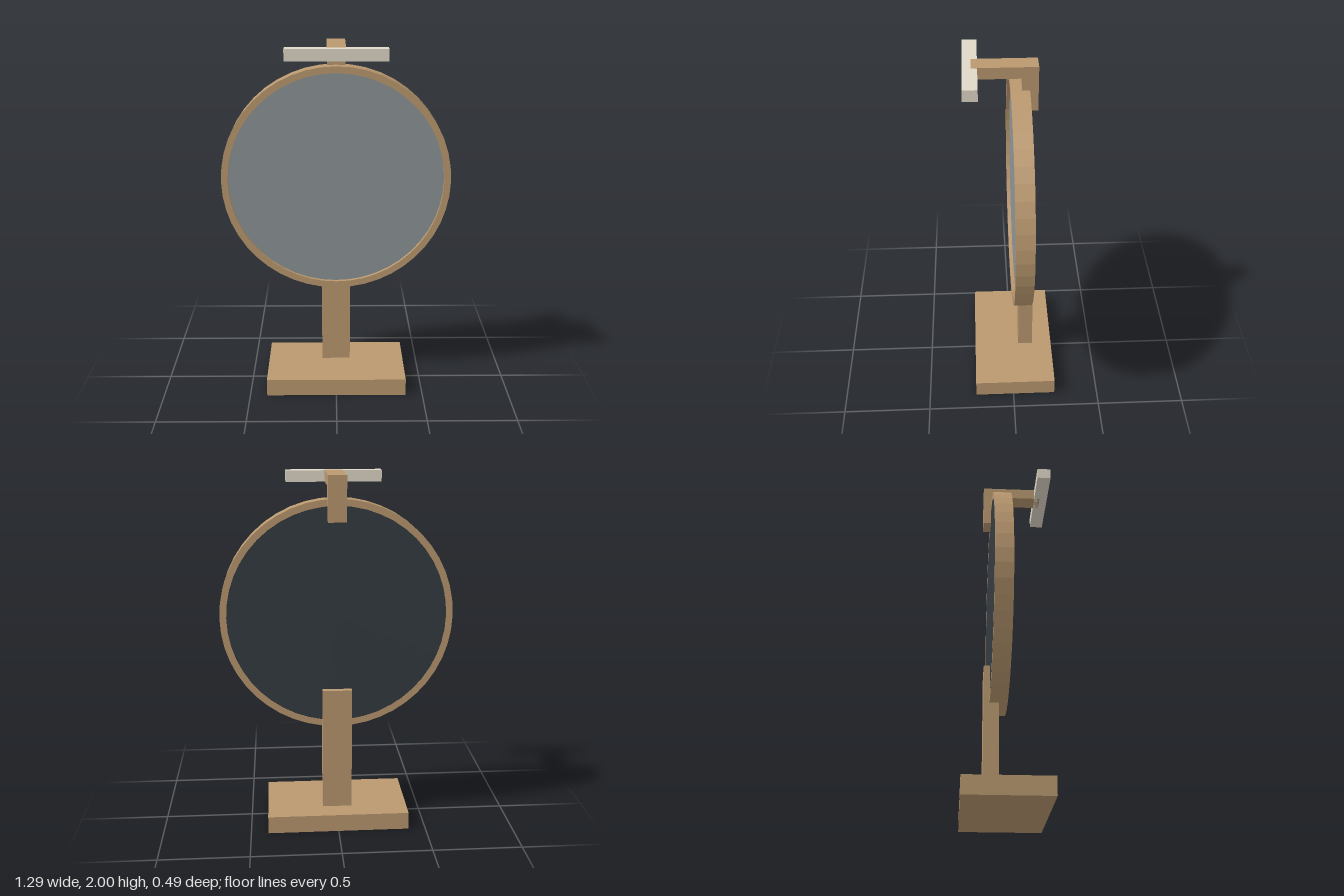
import * as THREE from 'three';

const material = (name, color) => Object.assign(new THREE.MeshStandardMaterial({ color }), { name });

export function createModel() {
  const model = new THREE.Group();
  model.name = 'tableMirror';
  const wood = material('wood', 0xb9986f);
  const cream = material('cream', 0xe0d8c8);
  const glass = material('mirrorGlass', 0x8d9497);
  const dark = material('darkBacking', 0x343b40);

  const centreY = 1.23, outer = 0.643, inner = 0.606, segments = 48;
  const backZ = -0.095, frontZ = 0.003;

  const add = (name, geometry, mat, x = 0, y = 0, z = 0) => {
    const mesh = new THREE.Mesh(geometry, mat);
    mesh.name = name;
    mesh.position.set(x, y, z);
    model.add(mesh);
    return mesh;
  };
  // Box centred on x, given by its y and z limits
  const block = (name, mat, width, y0, y1, z0, z1) =>
    add(name, new THREE.BoxGeometry(width, y1 - y0, z1 - z0), mat, 0, (y0 + y1) / 2, (z0 + z1) / 2);

  // Stand
  block('base', wood, 0.804, 0, 0.1, -0.245, 0.223);
  block('post', wood, 0.166, 0.1, 0.81, -0.128, -0.043);

  // Round frame, faceted
  const ring = new THREE.Shape().absarc(0, 0, outer, 0, Math.PI * 2, false);
  ring.holes.push(new THREE.Path().absarc(0, 0, inner, 0, Math.PI * 2, true));
  add('frame', new THREE.ExtrudeGeometry(ring, {
    depth: frontZ - backZ, bevelEnabled: false, curveSegments: segments / 2,
  }), wood, 0, centreY, backZ);

  // Recessed glass and the backing behind it
  const disc = new THREE.CircleGeometry(inner, segments);
  add('mirrorGlass', disc, glass, 0, centreY, -0.018);
  add('backing', disc, dark, 0, centreY, backZ + 0.001).rotation.y = Math.PI;

  // Lamp bracket over the frame
  block('bracketUpright', wood, 0.1, 1.753, 1.937, -0.139, -0.055);
  block('bracketArm', wood, 0.1, 1.937, 2, -0.139, 0.2);
  block('lampBar', cream, 0.536, 1.937, 1.9995, 0.168, 0.245);

  return model;
}
